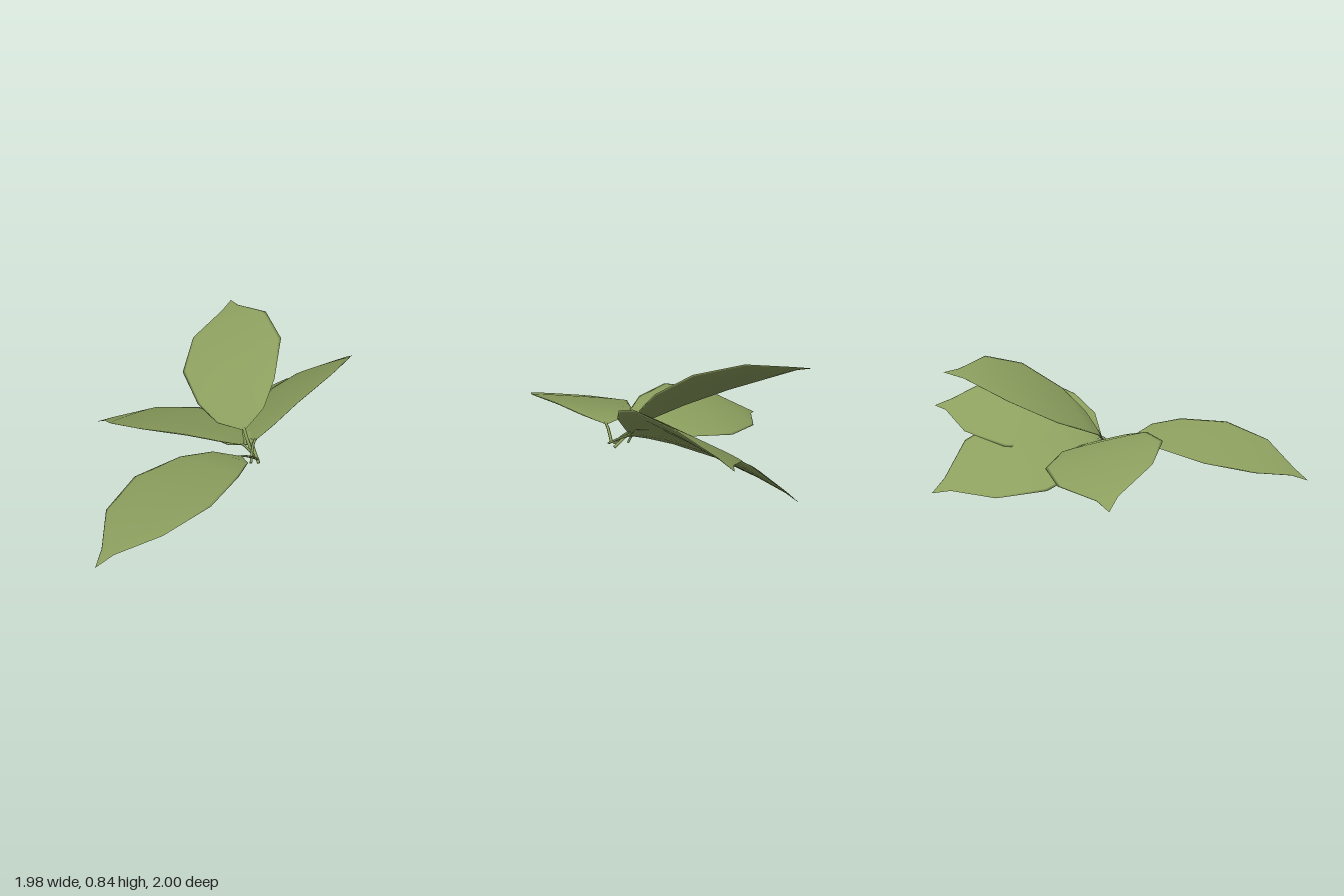
import * as THREE from 'three';

const V = (a) => new THREE.Vector3(...a);
const LENGTH = 1.17; // base to tip of one leaf

// Leaf cross-sections: [distance along leaf, half width, height above the base-tip line]
const ROWS = [
  [0, 0.015, 0], [0.08, 0.164, 0.046], [0.25, 0.274, 0.088], [0.55, 0.362, 0.109],
  [0.85, 0.276, 0.09], [1.065, 0.06, 0.035], [LENGTH, 0, 0],
];
// Positions across the leaf; the loop runs over the top, then back underneath
const ACROSS = [-1, -0.94, -0.7, -0.35, 0, 0.35, 0.7, 0.94];
const LOOP = [...ACROSS.map((t) => [t, 0.007]), ...ACROSS.map((t) => [-t, -0.035])];

// Thin closed blade: nearly flat above, slightly bellied below; points along -z
function bladeGeometry() {
  const pos = [], idx = [], n = LOOP.length;
  ROWS.forEach(([u, half, h], i) => {
    const fullness = Math.min(1, half / 0.25);
    LOOP.forEach(([t, bulge], j) => {
      pos.push(t * half, h + bulge * fullness * (1 - t ** 4), -u);
      if (i === ROWS.length - 1) return;
      const a = i * n + j, b = i * n + ((j + 1) % n);
      idx.push(a, b, a + n);
      if (i < ROWS.length - 2) idx.push(b, b + n, a + n);
    });
  });
  const g = new THREE.BufferGeometry();
  g.setAttribute('position', new THREE.Float32BufferAttribute(pos, 3));
  g.setIndex(idx);
  g.computeVertexNormals();
  return g;
}

// Short flattened stalk curving down from the blade's base
function stalkGeometry() {
  const curve = new THREE.CatmullRomCurve3([
    V([0, 0.01, -0.03]), V([0, -0.01, 0.02]), V([0, -0.055, 0.075]), V([0, -0.1, 0.12]),
  ]);
  return new THREE.TubeGeometry(curve, 6, 0.007, 5).scale(1.6, 1, 1);
}

// Base, tip and rightward direction across each leaf
const LEAVES = [
  ['frontRightLeaf', [-0.03, 0.268, 0.31], [-0.985, 0.045, 0.94], [-0.515, -0.195, -0.835]],
  ['backRightLeaf', [0.02, 0.242, 0.128], [-0.87, 0.098, -0.62], [0.66, -0.238, -0.714]],
  ['leftLeaf', [0.097, 0.268, 0.136], [0.983, 0.442, -0.6], [0.5, 0.53, 0.69]],
  ['lowBackLeaf', [0.082, 0.24, 0.129], [0.41, 0.0, -0.972], [0.86, 0.495, 0.13]],
  ['upperLeaf', [0.042, 0.317, 0.067], [0.17, 0.78, -1.0], [0.873, 0.382, 0.3]],
];

export function createModel() {
  const model = new THREE.Group();
  model.name = 'leafCluster';
  const green = new THREE.MeshStandardMaterial({ color: 0x8c9f5e, side: THREE.DoubleSide });
  const blade = bladeGeometry(), stalk = stalkGeometry();

  for (const [name, base, tip, side] of LEAVES) {
    const back = V(base).sub(V(tip)).normalize();
    const up = back.clone().cross(V(side)).normalize();
    const right = up.clone().cross(back);
    const leaf = new THREE.Group();
    leaf.name = name;
    leaf.quaternion.setFromRotationMatrix(new THREE.Matrix4().makeBasis(right, up, back));
    leaf.position.set(...base);
    const bladeMesh = new THREE.Mesh(blade, green);
    bladeMesh.name = 'blade';
    const stalkMesh = new THREE.Mesh(stalk, green);
    stalkMesh.name = 'stalk';
    leaf.add(bladeMesh, stalkMesh);
    model.add(leaf);
  }
  return model;
}
